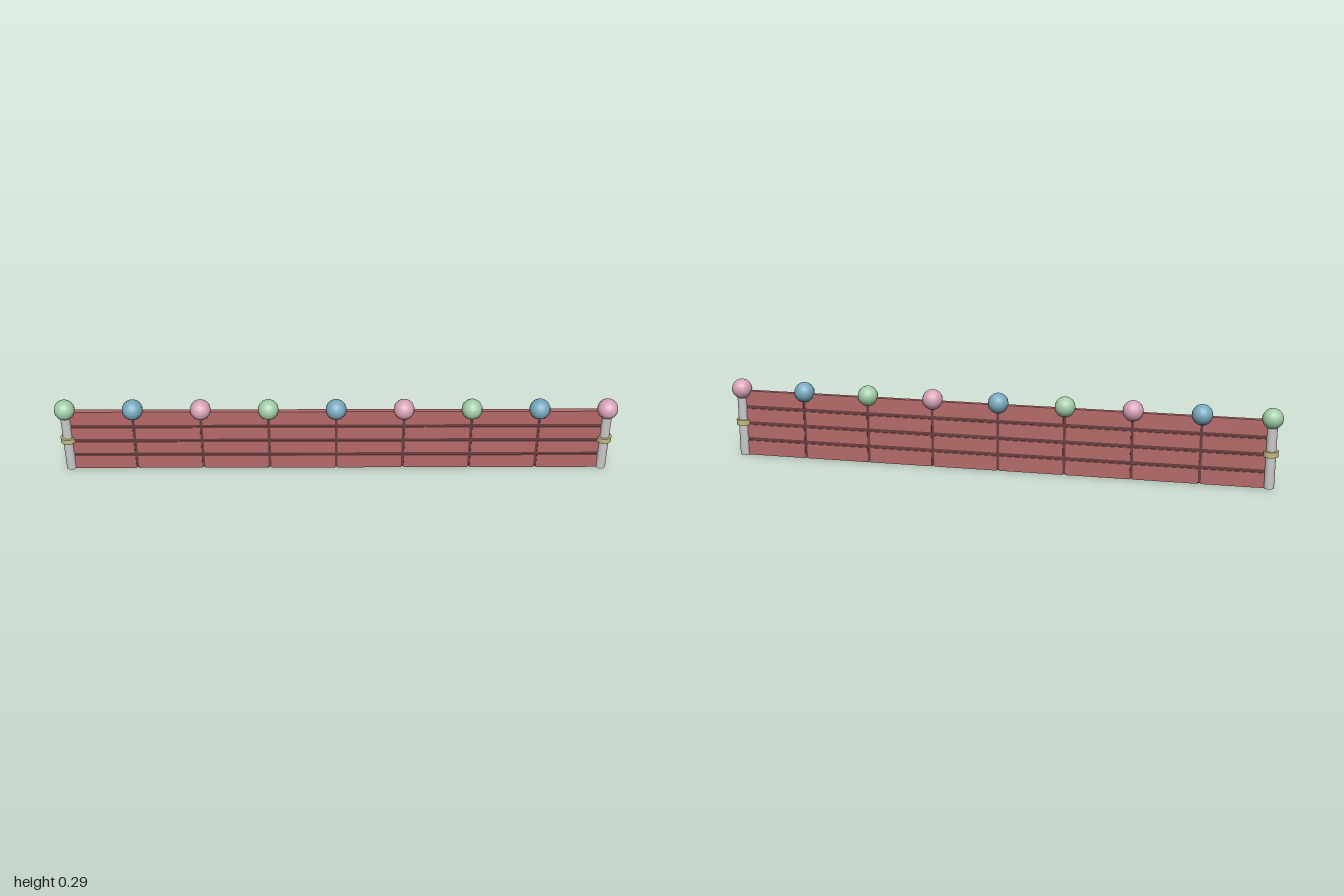
import * as THREE from 'three';

const mat = (name, color) => {
  const m = new THREE.MeshStandardMaterial({ color });
  m.name = name;
  return m;
};

export function createModel() {
  const group = new THREE.Group();
  const red = mat('panelRed', 0xb56a6a);
  const dark = mat('jointDarkRed', 0x6b3e3e);
  const grey = mat('postGrey', 0xcacaca);
  const brass = mat('collarBrass', 0xc6ba84);
  const ballColours = [mat('ballGreen', 0xa3cda8), mat('ballBlue', 0x78a8bd), mat('ballPink', 0xd8a2b6)];

  const add = (name, geometry, material, x, y, z = 0) => {
    const mesh = new THREE.Mesh(geometry, material);
    mesh.name = name;
    mesh.position.set(x, y, z);
    group.add(mesh);
  };

  const END = 0.963, BAYS = 8, ROWS = 4, HEIGHT = 0.248;
  const pitch = (2 * END) / BAYS;
  const rowPitch = HEIGHT / ROWS;

  // Dark core seen in the joints between the panels
  add('core', new THREE.BoxGeometry(2 * END, HEIGHT - 0.004, 0.01), dark, 0, HEIGHT / 2);

  // Rows of panels, with the outer edges flush at top and bottom
  for (let row = 0; row < ROWS; row++) {
    const bottom = row === 0 ? 0 : row * rowPitch + 0.0065;
    const top = row === ROWS - 1 ? HEIGHT : (row + 1) * rowPitch - 0.0065;
    const panel = new THREE.BoxGeometry(pitch - 0.01, top - bottom, 0.016);
    for (let bay = 0; bay < BAYS; bay++) {
      add('panel', panel, red, -END + (bay + 0.5) * pitch, (bottom + top) / 2);
    }
  }

  // End posts with collars
  const post = new THREE.CylinderGeometry(0.0185, 0.0185, 0.25, 16);
  const collar = new THREE.CylinderGeometry(0.0265, 0.0265, 0.02, 16);
  for (const side of [-1, 1]) {
    add('endPost', post, grey, side * END, 0.125);
    add('collar', collar, brass, side * END, 0.127);
  }

  // Balls along the top, colours repeating in threes
  const ball = new THREE.SphereGeometry(0.037, 16, 12);
  for (let i = 0; i <= BAYS; i++) {
    add('ball', ball, ballColours[i % 3], -END + i * pitch, 0.253);
  }
  return group;
}
